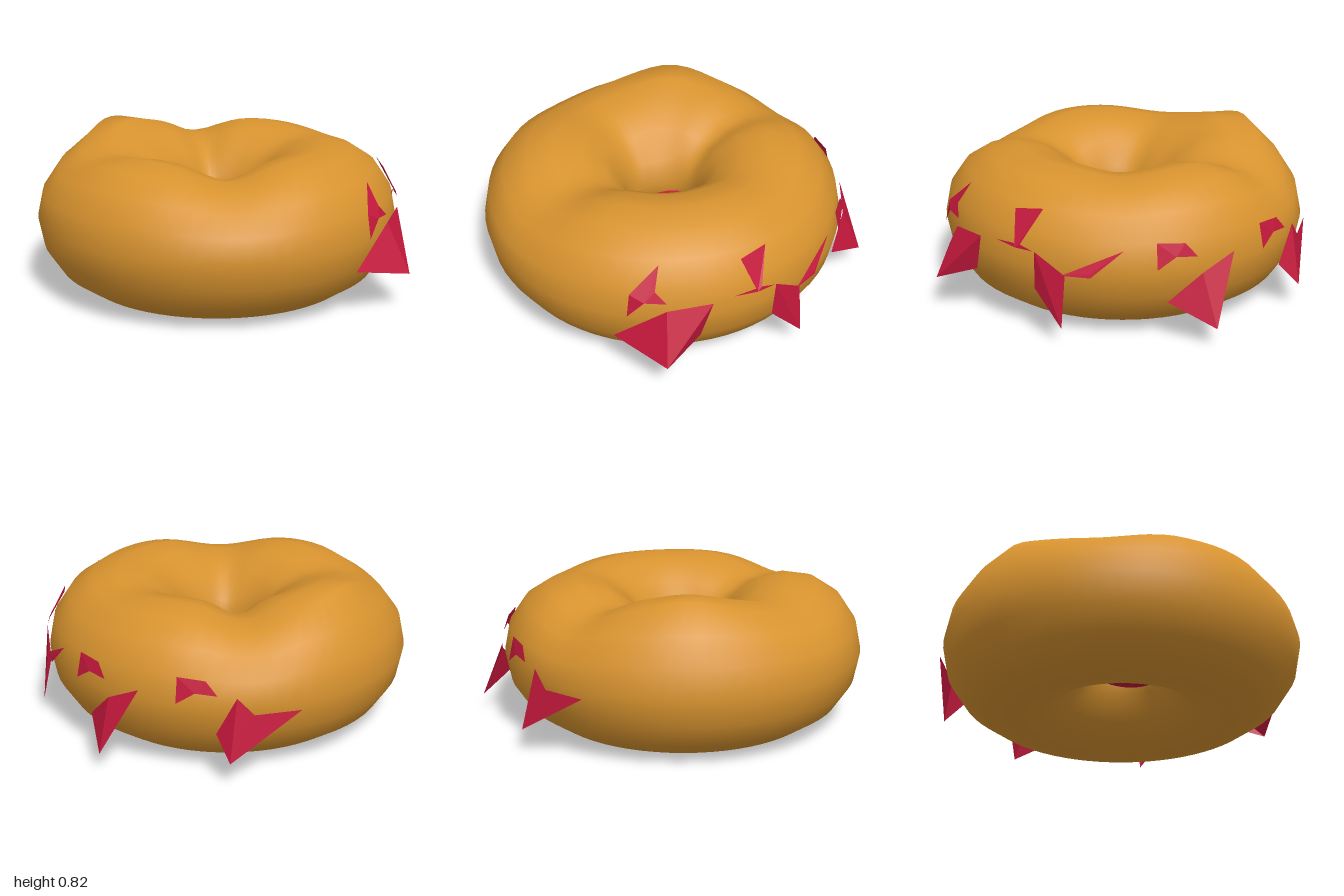
import * as THREE from 'three';
import { mergeVertices } from 'three/addons/utils/BufferGeometryUtils.js';

const CX = -0.03, CZ = 0.03; // centre of the ring
const RING = 0.58, TUBE = 0.39;
const doughMat = new THREE.MeshStandardMaterial({ color: 0xd8932f });
const icingMat = new THREE.MeshStandardMaterial({ color: 0xc4183c, side: THREE.DoubleSide, flatShading: true });

const bell = (d, w) => Math.exp(-(d * d) / (2 * w * w));
const angleDiff = (a, b) => ((a - b + 540) % 360 + 360) % 360 - 180;

// Valleys pressed into the top: [angle in degrees, width, depth]
const valleys = [[-85, 11, 0.085], [100, 15, 0.085], [180, 14, 0.045], [-15, 14, 0.03]];

function makeDough() {
  let geo = new THREE.TorusGeometry(RING, TUBE, 16, 64).rotateX(-Math.PI / 2).translate(0, TUBE, 0);
  geo.deleteAttribute('uv');
  geo.deleteAttribute('normal');
  geo = mergeVertices(geo, 1e-4);
  const p = geo.attributes.position;
  for (let i = 0; i < p.count; i++) {
    const x = p.getX(i), z = p.getZ(i);
    let y = p.getY(i);
    const r = Math.hypot(x, z);
    const a = THREE.MathUtils.radToDeg(Math.atan2(z, x));
    const top = Math.max(0, y / TUBE - 1);
    for (const [at, width, depth] of valleys) y -= depth * top * bell(angleDiff(a, at), width);
    // raised lump at the back
    y += 0.08 * top * bell(angleDiff(a, -131), 13) * bell(r - 0.7, 0.1);
    // bulge narrowing one side of the hole
    const s = 1 - 0.28 * bell(angleDiff(a, -148), 28) * bell(r - 0.19, 0.06);
    p.setXYZ(i, x * s + CX, y, z * s + CZ);
  }
  geo.computeVertexNormals();
  const mesh = new THREE.Mesh(geo, doughMat);
  mesh.name = 'dough';
  return mesh;
}

// Point on the outer wall at an angle and height, lifted outwards
function wallPoint(angle, y, lift) {
  const r = RING + Math.sqrt(TUBE ** 2 - (y - TUBE) ** 2) + lift;
  const a = THREE.MathUtils.degToRad(angle);
  return [CX + r * Math.cos(a), y, CZ + r * Math.sin(a)];
}

// Torn flake: a fan from a tip to an outline of [angle, height] on the wall
function makeFlake(name, tipLift, tip, outline) {
  const hub = wallPoint(...tip, tipLift);
  const rim = outline.map(([a, y]) => wallPoint(a, y, 0.02));
  const corners = rim.slice(1).flatMap((pt, i) => [hub, rim[i], pt]);
  const geo = new THREE.BufferGeometry();
  geo.setAttribute('position', new THREE.Float32BufferAttribute(corners.flat(), 3));
  geo.computeVertexNormals();
  const mesh = new THREE.Mesh(geo, icingMat);
  mesh.name = name;
  return mesh;
}

function makeIcing() {
  const icing = new THREE.Group();
  icing.name = 'icing';

  // Large flakes with tips curling out
  icing.add(
    makeFlake('frontLargeFlake', 0.2, [43, 0.19], [[33, 0.27], [29.5, 0.47], [43, 0.45], [59, 0.25]]),
    makeFlake('sideLargeFlake', 0.18, [0, 0.1], [[9.5, 0.27], [9, 0.47], [-0.6, 0.37]]),
    makeFlake('rearLargeFlake', 0.25, [-42, 0.11], [[-51, 0.45], [-40.5, 0.37], [-30.5, 0.22]]),
    makeFlake('backLargeFlake', 0.18, [-78, 0.13], [[-99, 0.36], [-85, 0.36], [-80, 0.45], [-74, 0.25]]),
  );

  // Small flakes lying on the wall
  icing.add(
    makeFlake('frontUpperFlake', 0.03, [49.5, 0.5], [[54.5, 0.41], [54, 0.53], [45.5, 0.66], [46.5, 0.55], [43, 0.49]]),
    makeFlake('sideUpperFlake', 0.02, [15.5, 0.47],
      [[23, 0.485], [16, 0.49], [19, 0.64], [9, 0.66], [14, 0.49], [9.5, 0.47]]),
    makeFlake('sideTornStrip', 0.02, [0.5, 0.37], [[-8, 0.37], [-17.5, 0.51], [-8, 0.395]]),
  );
  for (const [name, a] of [['rearUpperFlake', -27], ['backUpperFlake', -62.5]]) {
    icing.add(makeFlake(name, 0.02, [a - 5.5, 0.47],
      [[a, 0.41], [a, 0.54], [a - 8.5, 0.53], [a - 12, 0.46]]));
  }

  // Icing web closing the hole, dipping towards one side
  const web = new THREE.Mesh(new THREE.CircleGeometry(0.225, 24).rotateX(-Math.PI / 2), icingMat);
  web.name = 'holeIcing';
  web.position.set(CX, 0.31, CZ);
  web.rotation.set(0.12, 0, -0.12);
  icing.add(web);
  return icing;
}

export function createModel() {
  const group = new THREE.Group();
  group.name = 'donut';
  group.add(makeDough(), makeIcing());
  return group;
}
